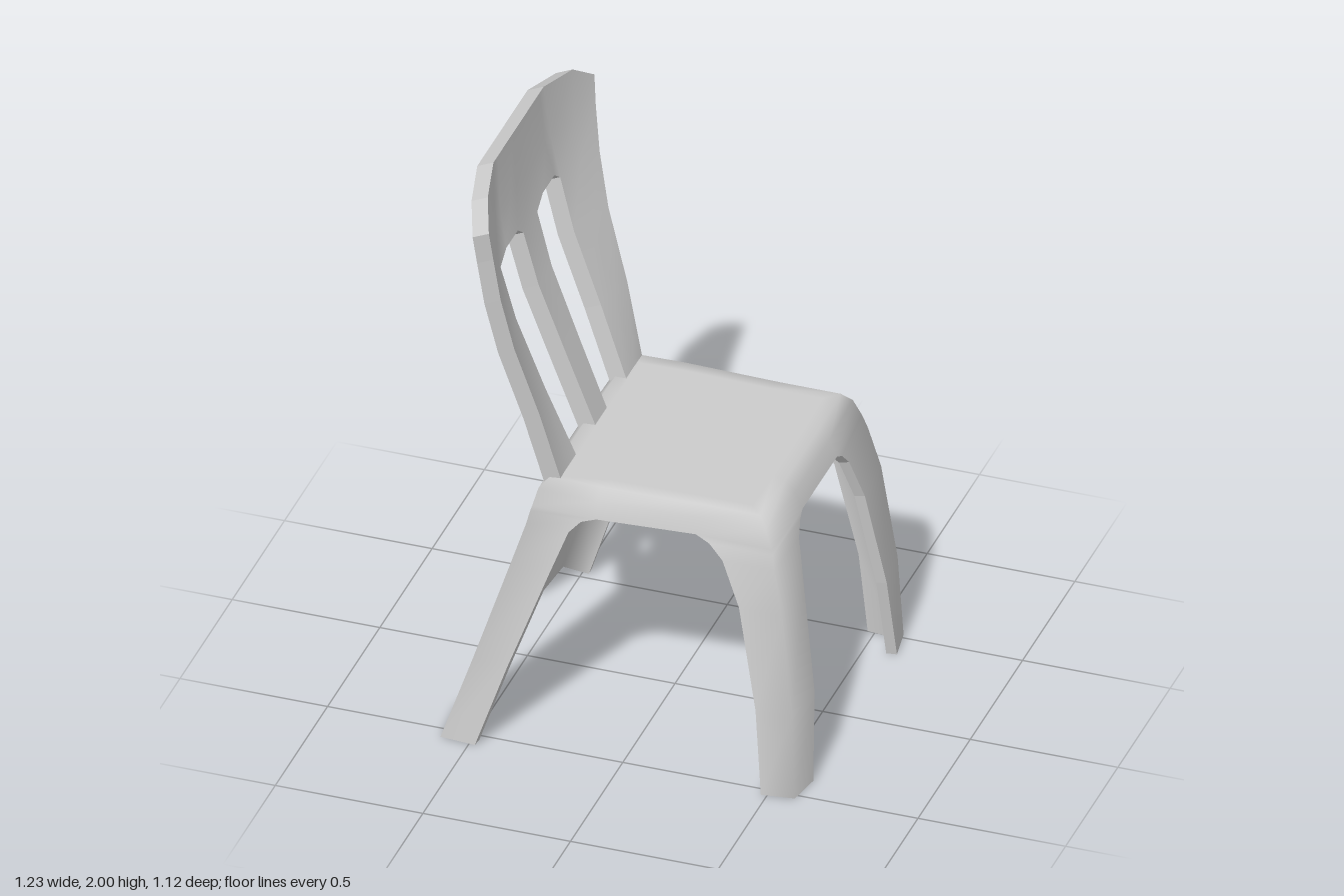
import * as THREE from 'three';

const material = new THREE.MeshStandardMaterial({ color: 0xcccccc });

// Thickens a sheet of quads: front skin, offset back skin and a sharp rim along open edges.
function solidify(points, quads, offset) {
  const tris = quads.flatMap(([a, b, c, d]) => [[a, b, c], [a, c, d]]).filter((t) => new Set(t).size === 3);
  const sheet = new THREE.BufferGeometry();
  sheet.setAttribute('position', new THREE.Float32BufferAttribute(points.flat(), 3));
  sheet.setIndex(tris.flat());
  sheet.computeVertexNormals();
  const normals = sheet.attributes.normal;
  const back = points.map((p, i) => offset(p, new THREE.Vector3().fromBufferAttribute(normals, i)));

  const n = points.length;
  const pos = [...points, ...back];
  const index = tris.flatMap(([a, b, c]) => [a, b, c, n + a, n + c, n + b]);
  const edges = new Set(tris.flatMap(([a, b, c]) => [`${a},${b}`, `${b},${c}`, `${c},${a}`]));
  for (const edge of edges) {
    const [a, b] = edge.split(',').map(Number);
    if (edges.has(`${b},${a}`)) continue;
    const k = pos.length;
    pos.push(points[a], points[b], back[b], back[a]);
    index.push(k, k + 2, k + 1, k, k + 3, k + 2);
  }
  const geometry = new THREE.BufferGeometry();
  geometry.setAttribute('position', new THREE.Float32BufferAttribute(pos.flat(), 3));
  geometry.setIndex(index);
  geometry.computeVertexNormals();
  return geometry;
}

// Seat with four angled legs, as one moulded shell.
// Each level: height, then [x, z] of side end, corner and inner end for front and rear legs.
function seatAndLegs() {
  const levels = [
    [0, [[0.48, 0.535], [0.59, 0.52], [0.61, 0.4]], [[-0.48, 0.56], [-0.6, 0.55], [-0.615, 0.37]]],
    [0.3, [[0.455, 0.515], [0.575, 0.505], [0.595, 0.345]], [[-0.38, 0.53], [-0.5, 0.525], [-0.515, 0.335]]],
    [0.65, [[0.385, 0.475], [0.53, 0.475], [0.54, 0.29]], [[-0.255, 0.48], [-0.39, 0.48], [-0.4, 0.29]]],
    [0.8, [[0.32, 0.45], [0.495, 0.45], [0.505, 0.24]], [[-0.2, 0.455], [-0.345, 0.45], [-0.35, 0.24]]],
    [0.845, [[0.27, 0.435], [0.485, 0.435], [0.495, 0.2]], [[-0.16, 0.45], [-0.335, 0.44], [-0.335, 0.2]]],
    [0.862, [[0.22, 0.422], [0.48, 0.43], [0.49, 0.165]], [[-0.11, 0.445], [-0.33, 0.435], [-0.33, 0.165]]],
    [0.92, [[0.22, 0.41], [0.455, 0.415], [0.465, 0.165]], [[-0.11, 0.43], [-0.315, 0.42], [-0.32, 0.165]]],
    [0.955, [[0.22, 0.385], [0.425, 0.385], [0.43, 0.165]], [[-0.11, 0.395], [-0.285, 0.39], [-0.29, 0.165]]],
  ];
  const shrink = (pts) => pts.map(([x, z]) => [0.07 + (x - 0.07) * 0.88, z * 0.88]);
  levels.push([0.957, shrink(levels[7][1]), shrink(levels[7][2])]);

  const points = [];
  for (const [y, front, rear] of levels) {
    const at = (pts, s) => pts.map(([x, z]) => [x, y, s * z]);
    points.push(...at(front, 1), ...at(front, -1).reverse(), ...at(rear, -1), ...at(rear, 1).reverse());
  }
  const quads = [];
  for (let r = 0; r < levels.length - 1; r++) {
    for (let i = 0; i < 12; i++) {
      if (r < 5 && i % 3 === 2) continue; // open arches between the legs
      const j = (i + 1) % 12;
      quads.push([r * 12 + i, r * 12 + j, r * 12 + 12 + j, r * 12 + 12 + i]);
    }
  }
  // Flat middle of the seat
  const last = (levels.length - 1) * 12;
  const centre = points.length;
  points.push([0.07, 0.957, 0]);
  for (let i = 0; i < 12; i++) quads.push([last + i, last + ((i + 1) % 12), centre, centre]);

  const t = 0.035;
  return solidify(points, quads, ([x, y, z], n) => [x - n.x * t, y === 0 ? 0 : y - n.y * t, z - n.z * t]);
}

// Curved backrest with two arched slots and a central slat.
// Each row: x at the middle, forward bend at the sides, half-widths and heights of the columns.
function backrest() {
  const rows = [
    [-0.25, 0, [0.39, 0.32, 0.24, 0.2, 0.11, 0.055], 0.955],
    [-0.345, 0.035, [0.42, 0.345, 0.265, 0.215, 0.115, 0.058], 1.2],
    [-0.44, 0.055, [0.45, 0.365, 0.277, 0.22, 0.118, 0.062], 1.45],
    [-0.49, 0.067, [0.473, 0.385, 0.285, 0.23, 0.12, 0.066], [1.64, 1.64, 1.64, 1.68, 1.68, 1.64]],
    [-0.515, 0.073, [0.49, 0.395, 0.265, 0.215, 0.115, 0.063], 1.8],
    [-0.53, 0.078, [0.505, 0.405, 0.24, 0.2, 0.11, 0.06], [1.905, 1.975, 2, 2, 2, 2]],
  ];
  const bend = [1, 0.5, 0, 0, 0, 0];
  const points = [];
  for (const [x, depth, widths, heights] of rows) {
    const half = widths.map((z, c) => [x + depth * bend[c], Array.isArray(heights) ? heights[c] : heights, z]);
    points.push(...half, ...half.map(([px, py, pz]) => [px, py, -pz]).reverse());
  }
  const quads = [];
  for (let r = 0; r < rows.length - 1; r++) {
    for (let c = 0; c < 11; c++) {
      const slot = (c >= 2 && c <= 4) || (c >= 6 && c <= 8);
      if (r < 3 && slot) continue;
      const a = r * 12 + c;
      quads.push([a, a + 1, a + 13, a + 12]);
    }
  }
  return solidify(points, quads, ([x, y, z]) => [x - 0.055, y - 0.025, z]);
}

export function createModel() {
  const chair = new THREE.Group();
  chair.name = 'chair';
  const parts = { seatAndLegs: seatAndLegs(), backrest: backrest() };
  for (const [name, geometry] of Object.entries(parts)) {
    const mesh = new THREE.Mesh(geometry, material);
    mesh.name = name;
    chair.add(mesh);
  }
  return chair;
}
